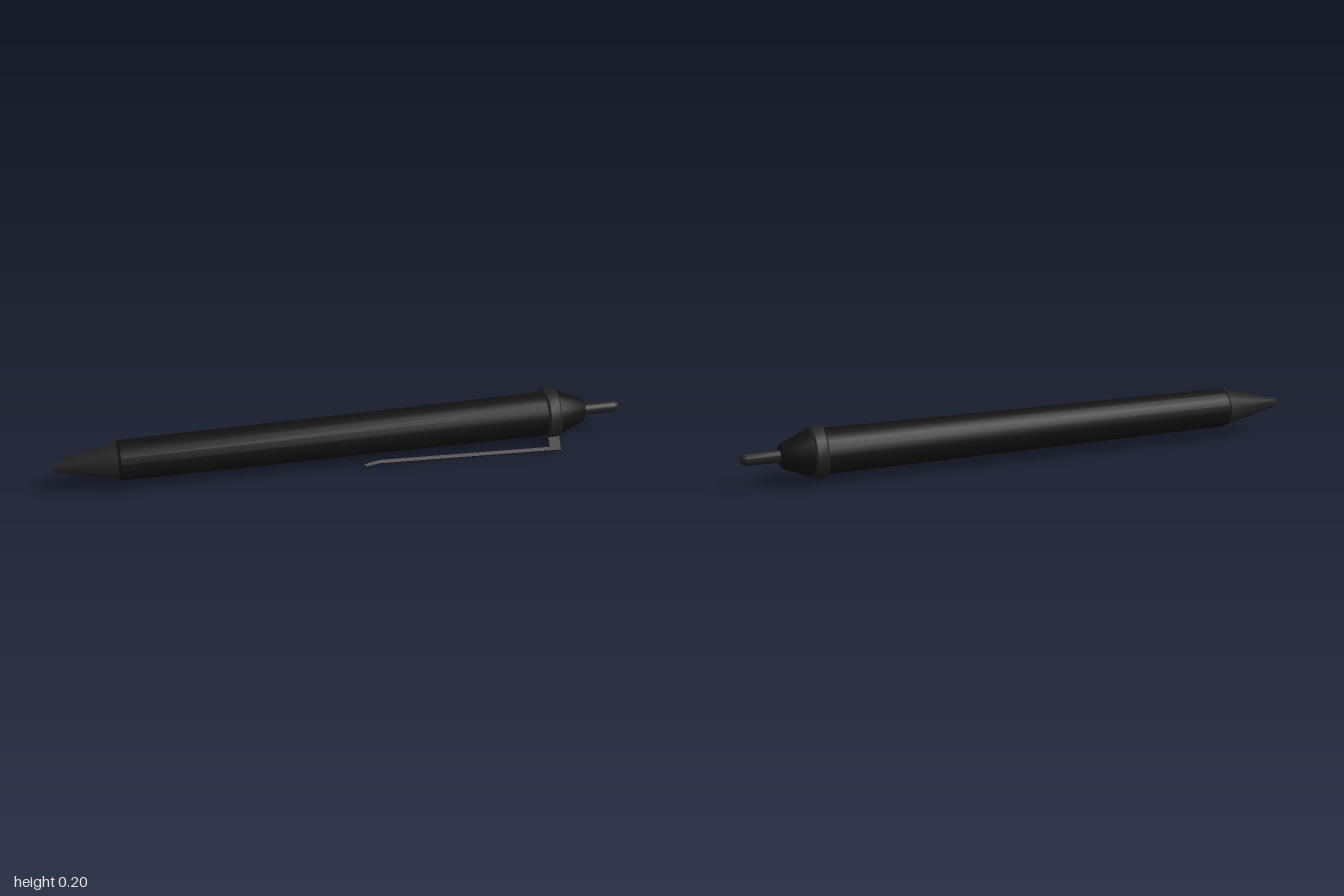
import * as THREE from 'three';
import { toCreasedNormals } from 'three/addons/utils/BufferGeometryUtils.js';

const SIDES = 18;
const black = new THREE.MeshStandardMaterial({ color: 0x111111 });
const charcoal = new THREE.MeshStandardMaterial({ color: 0x222222 });

// Turned part: profile of [x along the pen, radius], tip to button
function turned(name, profile, material) {
  const points = profile.map(([x, r]) => new THREE.Vector2(r, x));
  const lathe = new THREE.LatheGeometry(points, SIDES);
  lathe.rotateZ(-Math.PI / 2);
  const mesh = new THREE.Mesh(toCreasedNormals(lathe, 0.5), material);
  mesh.name = name;
  return mesh;
}

// Pocket clip: built with +y pointing away from the barrel
function createClip() {
  const clip = new THREE.Group();
  clip.name = 'clip';

  // Long sprung strip with its free end flared outward
  const width = 0.022;
  const shape = new THREE.Shape();
  [
    [0.765, 0.136], [0.11, 0.112], [0.065, 0.118], [0.055, 0.110],
    [0.11, 0.100], [0.72, 0.122], [0.765, 0.122],
  ].forEach(([x, r], i) => (i ? shape.lineTo(x, r) : shape.moveTo(x, r)));
  const stripGeometry = new THREE.ExtrudeGeometry(shape, { depth: width, bevelEnabled: false });
  stripGeometry.translate(0, 0, -width / 2);
  const strip = new THREE.Mesh(stripGeometry, charcoal);
  strip.name = 'clipStrip';

  // Post joining the strip to the ring, wider at its foot
  const postGeometry = new THREE.BoxGeometry(0.04, 0.054, width);
  const position = postGeometry.attributes.position;
  for (let i = 0; i < position.count; i++) {
    if (position.getY(i) < 0) position.setZ(i, position.getZ(i) * 1.45);
  }
  postGeometry.translate(0.745, 0.105, 0);
  postGeometry.computeVertexNormals();
  const post = new THREE.Mesh(postGeometry, charcoal);
  post.name = 'clipPost';

  clip.add(strip, post);
  clip.rotation.x = THREE.MathUtils.degToRad(137);
  return clip;
}

export function createModel() {
  const pen = new THREE.Group();
  pen.name = 'pen';
  pen.add(
    turned('tip', [[-1, 0], [-1, 0.014], [-0.99, 0.018], [-0.78, 0.067], [-0.78, 0]], charcoal),
    turned('barrel', [[-0.785, 0], [-0.785, 0.066], [-0.775, 0.07], [0.73, 0.078], [0.73, 0]], black),
    turned('ring', [[0.722, 0], [0.722, 0.086], [0.728, 0.09], [0.762, 0.09], [0.768, 0.086], [0.768, 0]], charcoal),
    turned('cap', [[0.765, 0], [0.765, 0.082], [0.775, 0.08], [0.862, 0.043], [0.87, 0.036], [0.87, 0]], black),
    turned('button', [[0.86, 0], [0.86, 0.021], [0.985, 0.021], [0.995, 0.017], [1, 0.009], [1, 0]], charcoal),
    createClip(),
  );
  pen.position.set(0, 0.107, -0.004);

  const model = new THREE.Group();
  model.add(pen);
  return model;
}
